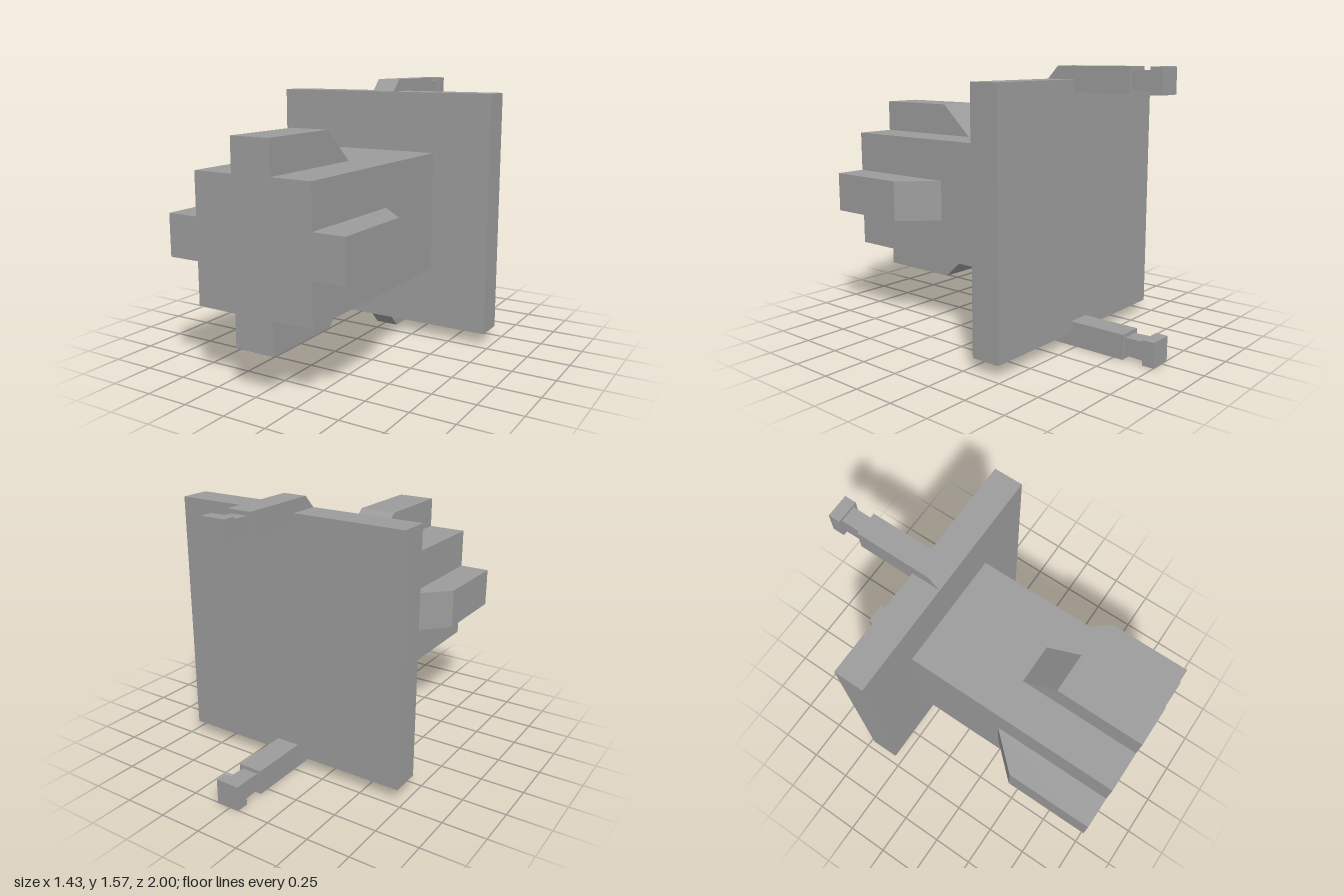
import * as THREE from 'three';

const CY = 0.786; // height of the central axis

export function createModel() {
  const model = new THREE.Group();
  model.name = 'model';
  const material = new THREE.MeshStandardMaterial({ color: 0x9c9c9c, flatShading: true });

  const add = (name, geometry, parent = model) => {
    const mesh = new THREE.Mesh(geometry, material);
    mesh.name = name;
    parent.add(mesh);
    return mesh;
  };

  // Box given by its width, height and z range, centred on x
  const slab = (w, h, z0, z1, y = 0) =>
    new THREE.BoxGeometry(w, h, z1 - z0).translate(0, y, (z0 + z1) / 2);

  // Side profile of [z, y] points, extruded along x and centred on it
  const profile = (points, width) => {
    const shape = new THREE.Shape(points.map(([z, y]) => new THREE.Vector2(-z, y)));
    return new THREE.ExtrudeGeometry(shape, { depth: width, bevelEnabled: false })
      .translate(0, 0, -width / 2)
      .rotateY(Math.PI / 2);
  };

  // Main block and square back plate
  add('body', slab(0.714, 0.714, -0.287, 1)).position.y = CY;
  add('backPlate', slab(1.428, 1.428, -0.463, -0.287)).position.y = CY;

  // Four ribs with sloped rear ends, one per side of the body
  const ribPoints = [[1, 0.357], [1, 0.544], [0.49, 0.544], [0.287, 0.357]];
  ['topRib', 'leftRib', 'bottomRib', 'rightRib'].forEach((name, i) => {
    const rib = add(name, profile(ribPoints, 0.236));
    rib.position.y = CY;
    rib.rotation.z = -i * Math.PI / 2;
  });

  // Two rear prongs hooked over the plate edges: arm, slightly flared neck, head
  const armPoints = [
    [-0.287, 0.714], [-0.355, 0.786], [-0.81, 0.786],
    [-0.81, 0.644], [-0.463, 0.644], [-0.463, 0.714],
  ];
  const neckPoints = [[-0.81, 0.764], [-0.93, 0.769], [-0.93, 0.661], [-0.81, 0.666]];
  for (const [name, s] of [['topProng', 1], ['bottomProng', -1]]) {
    const mirrored = (points) => points.map(([z, y]) => [z, s * y]);
    const prong = new THREE.Group();
    prong.name = name;
    prong.position.set(0.015, CY, 0);
    add('arm', profile(mirrored(armPoints), 0.142), prong);
    add('neck', profile(mirrored(neckPoints), 0.1), prong);
    add('head', slab(0.142, 0.142, -1, -0.93, s * 0.715), prong);
    model.add(prong);
  }

  return model;
}
